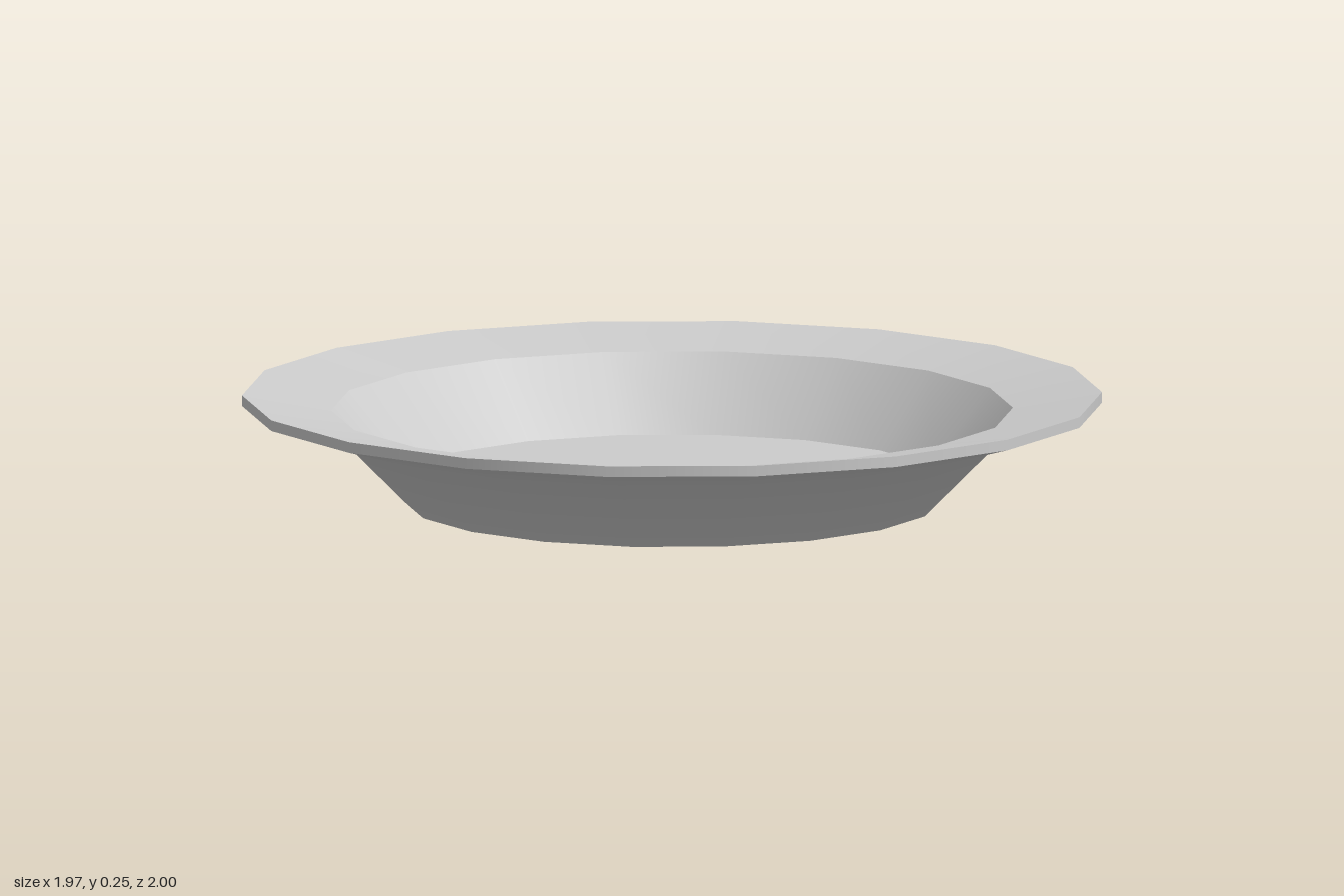
import * as THREE from 'three';

const SIDES = 18;
const material = new THREE.MeshStandardMaterial({ color: 0xcccccc });

// One smooth-shaded band of the plate; separate bands keep the edges between them sharp.
function band(name, profile) {
  const points = profile.map(([r, y]) => new THREE.Vector2(r, y));
  const mesh = new THREE.Mesh(new THREE.LatheGeometry(points, SIDES), material);
  mesh.name = name;
  return mesh;
}

// Flat disc with corners matching the bands, facing up or down.
function disc(name, radius, y, facing) {
  const geometry = new THREE.CircleGeometry(radius, SIDES, Math.PI / 2);
  geometry.rotateX(-facing * Math.PI / 2);
  const mesh = new THREE.Mesh(geometry, material);
  mesh.position.y = y;
  mesh.name = name;
  return mesh;
}

export function createModel() {
  const plate = new THREE.Group();
  plate.name = 'plate';

  // Profile corners as [radius, height]
  const foot = [0.62, 0], underBend = [0.79, 0.17], rimLow = [1, 0.23];
  const rimTop = [1, 0.255], innerBend = [0.793, 0.219], floorEdge = [0.643, 0.048];

  plate.add(
    disc('base', foot[0], foot[1], -1),
    band('underside', [foot, underBend, rimLow]),
    band('rimEdge', [rimLow, rimTop]),
    band('rimTop', [rimTop, innerBend]),
    band('innerWall', [innerBend, floorEdge]),
    disc('floor', floorEdge[0], floorEdge[1], 1),
  );
  return plate;
}
